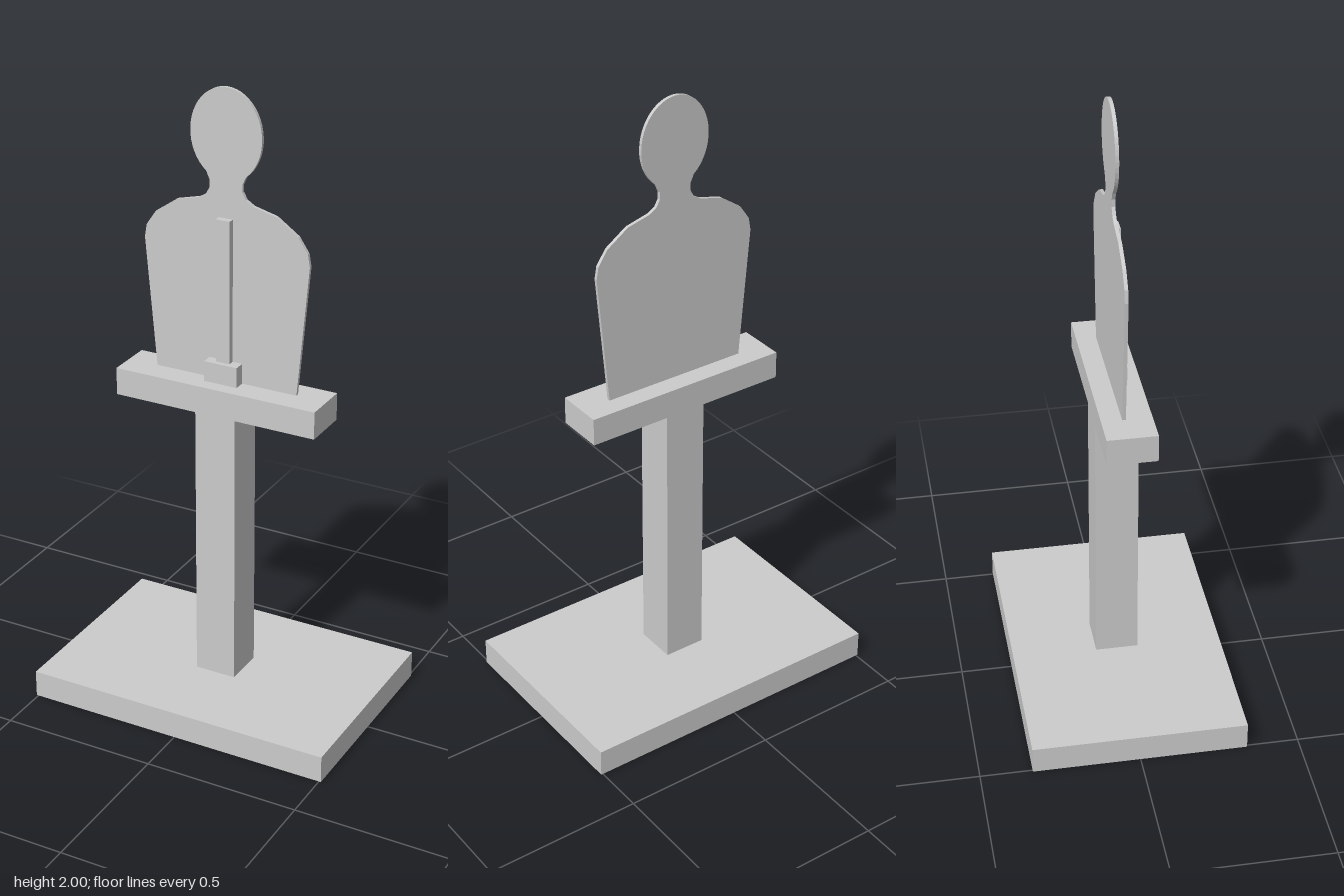
import * as THREE from 'three';

const material = new THREE.MeshStandardMaterial({ color: 0xcccccc });

// Box given by its full width, its y range and its z range
function addBox(group, name, width, [y0, y1], [z0, z1]) {
  const mesh = new THREE.Mesh(new THREE.BoxGeometry(width, y1 - y0, z1 - z0), material);
  mesh.position.set(0, (y0 + y1) / 2, (z0 + z1) / 2);
  mesh.name = name;
  group.add(mesh);
}

// Flat head-and-shoulders outline, cut from a thin sheet
function bustGeometry(z0, z1) {
  // Right half from hem to neck
  const half = [
    [0.238, 1.085], [0.275, 1.5], [0.268, 1.54], [0.236, 1.587], [0.165, 1.636],
    [0.09, 1.655], [0.066, 1.67], [0.054, 1.692], [0.054, 1.715],
  ];
  const points = half.map(([x, y]) => new THREE.Vector2(x, y));
  // Head: open ellipse running from one side of the neck to the other
  const gap = 0.98;
  const steps = 40;
  for (let i = 0; i <= steps; i++) {
    const a = -gap + (Math.PI + 2 * gap) * (i / steps);
    points.push(new THREE.Vector2(0.117 * Math.cos(a), 1.858 + 0.142 * Math.sin(a)));
  }
  // Mirrored half back down to the hem
  for (const [x, y] of [...half].reverse()) points.push(new THREE.Vector2(-x, y));
  const geometry = new THREE.ExtrudeGeometry(new THREE.Shape(points), {
    depth: z1 - z0, bevelEnabled: false,
  });
  return geometry.translate(0, 0, z0);
}

export function createModel() {
  const group = new THREE.Group();
  group.name = 'bustStand';

  // Stand
  addBox(group, 'base', 1.013, [0, 0.088], [-0.337, 0.337]);
  addBox(group, 'post', 0.135, [0.088, 0.997], [-0.0675, 0.0675]);
  addBox(group, 'shelf', 0.674, [0.997, 1.085], [-0.077, 0.077]);

  // Bust sheet and the brace in front of it
  const bust = new THREE.Mesh(bustGeometry(-0.014, -0.003), material);
  bust.name = 'bustSilhouette';
  group.add(bust);
  addBox(group, 'braceBlock', 0.111, [1.085, 1.15], [-0.003, 0.033]);
  addBox(group, 'braceStrip', 0.046, [1.085, 1.604], [-0.003, 0.018]);

  return group;
}
